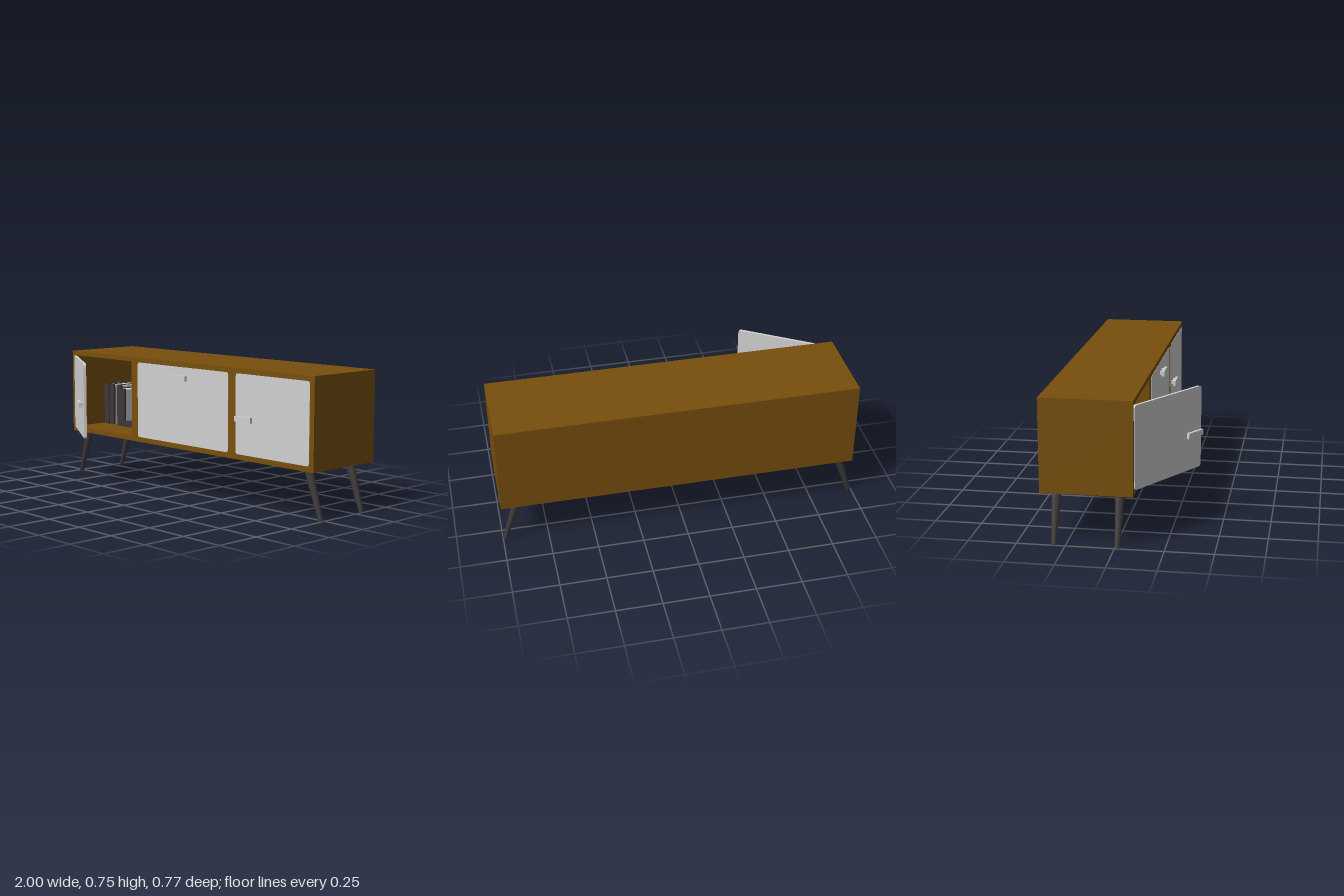
import * as THREE from 'three';

const wood = new THREE.MeshStandardMaterial({ color: 0x784f0d, name: 'brown wood' });
const light = new THREE.MeshStandardMaterial({ color: 0xd0d0d0, name: 'light grey' });
const dark = new THREE.MeshStandardMaterial({ color: 0x3d3939, name: 'dark grey', flatShading: true });

// Box given by its lower and upper corners
function box(name, mat, [x0, y0, z0], [x1, y1, z1]) {
  const m = new THREE.Mesh(new THREE.BoxGeometry(x1 - x0, y1 - y0, z1 - z0), mat);
  m.position.set((x0 + x1) / 2, (y0 + y1) / 2, (z0 + z1) / 2);
  m.name = name;
  return m;
}

// Rounded panel with its lower left back corner at the origin
function panel(name, w, h, depth, r = 0.018) {
  const s = new THREE.Shape();
  s.moveTo(r, 0).lineTo(w - r, 0).quadraticCurveTo(w, 0, w, r);
  s.lineTo(w, h - r).quadraticCurveTo(w, h, w - r, h);
  s.lineTo(r, h).quadraticCurveTo(0, h, 0, h - r);
  s.lineTo(0, r).quadraticCurveTo(0, 0, r, 0);
  const g = new THREE.ExtrudeGeometry(s, { depth, bevelEnabled: false, curveSegments: 5 });
  const m = new THREE.Mesh(g, light);
  m.name = name;
  return m;
}

// Bar handle on two short posts, standing on z = 0
function handle(x, y, z) {
  const g = new THREE.Group();
  g.name = 'handle';
  g.add(box('handleBar', light, [-0.058, -0.015, 0.013], [0.058, 0.015, 0.028]));
  for (const s of [-1, 1]) {
    g.add(box('handlePost', light, [s * 0.03 - 0.008, -0.01, -0.001], [s * 0.03 + 0.008, 0.01, 0.014]));
  }
  g.position.set(x, y, z);
  return g;
}

// Tapered leg, sheared outwards so that the foot stays level
function leg(side, z) {
  const h = 0.264;
  const geo = new THREE.CylinderGeometry(0.026, 0.0132, h, 12);
  geo.translate(0, h / 2, 0);
  const p = geo.attributes.position;
  for (let i = 0; i < p.count; i++) {
    p.setX(i, p.getX(i) + side * (0.987 - 0.089 * p.getY(i) / h));
  }
  geo.computeVertexNormals();
  const m = new THREE.Mesh(geo, dark);
  m.position.z = z;
  m.name = 'leg';
  return m;
}

// Upright book with a dark spine and back cover
function book(x, w, h, z) {
  const g = new THREE.Group();
  g.name = 'book';
  const y = 0.29, back = z - 0.175;
  g.add(box('bookSpine', dark, [x, y, z - 0.012], [x + w, y + h, z]));
  g.add(box('bookCover', dark, [x, y, back], [x + 0.008, y + h, z - 0.012]));
  g.add(box('bookPages', light, [x + 0.008, y, back], [x + w, y + h - 0.004, z - 0.012]));
  return g;
}

export function createModel() {
  const model = new THREE.Group();
  model.name = 'sideboard';

  // Cabinet: closed part plus a hollow compartment at the open door
  const cabinet = new THREE.Group();
  cabinet.name = 'cabinet';
  const L = -0.965, D = -0.41, B = 0.262, T = 0.753, K = -0.385, F = 0.09;
  cabinet.add(
    box('closedCompartments', wood, [D, B, K], [1, T, F]),
    box('compartmentTop', wood, [L, 0.727, K], [D, T, F]),
    box('compartmentFloor', wood, [L, B, K], [D, 0.29, F]),
    box('compartmentSide', wood, [L, 0.29, K], [-0.94, 0.727, F]),
    box('compartmentBack', wood, [-0.94, 0.29, K], [D, 0.727, -0.36]),
  );
  model.add(cabinet);

  // Closed doors, flush with the front
  for (const [name, x, w, hx, hy] of [
    ['middleDoor', -0.355, 0.743, 0.015, 0.665],
    ['leftDoor', 0.445, 0.525, 0.52, 0.485],
  ]) {
    const door = panel(name, w, 0.434, 0.01);
    door.position.set(x, 0.291, F - 0.0085);
    model.add(door, handle(hx, hy, F + 0.0005));
  }

  // Open door, swung about its outer edge
  const open = new THREE.Group();
  open.name = 'openDoor';
  open.add(panel('openDoorPanel', 0.525, 0.434, 0.015), handle(0.45, 0.194, 0.015));
  open.position.set(-0.935, 0.291, 0.082);
  open.rotation.y = -0.56;
  model.add(open);

  // Books in the open compartment
  const books = new THREE.Group();
  books.name = 'books';
  for (const [x, w, h, z] of [
    [-0.92, 0.04, 0.25, -0.12], [-0.878, 0.042, 0.25, -0.125], [-0.834, 0.038, 0.245, -0.15],
    [-0.79, 0.07, 0.23, -0.113],
  ]) books.add(book(x, w, h, z));
  books.add(
    box('lyingBookSpine', dark, [-0.715, 0.29, -0.125], [-0.455, 0.325, -0.11]),
    box('lyingBookPages', light, [-0.712, 0.296, -0.29], [-0.458, 0.319, -0.125]),
    box('lyingBookCover', dark, [-0.715, 0.319, -0.293], [-0.455, 0.325, -0.125]),
    box('lyingBookCover', dark, [-0.715, 0.29, -0.293], [-0.455, 0.296, -0.125]),
  );
  model.add(books);

  // Splayed legs
  for (const side of [-1, 1]) for (const z of [0.013, -0.31]) model.add(leg(side, z));

  return model;
}
